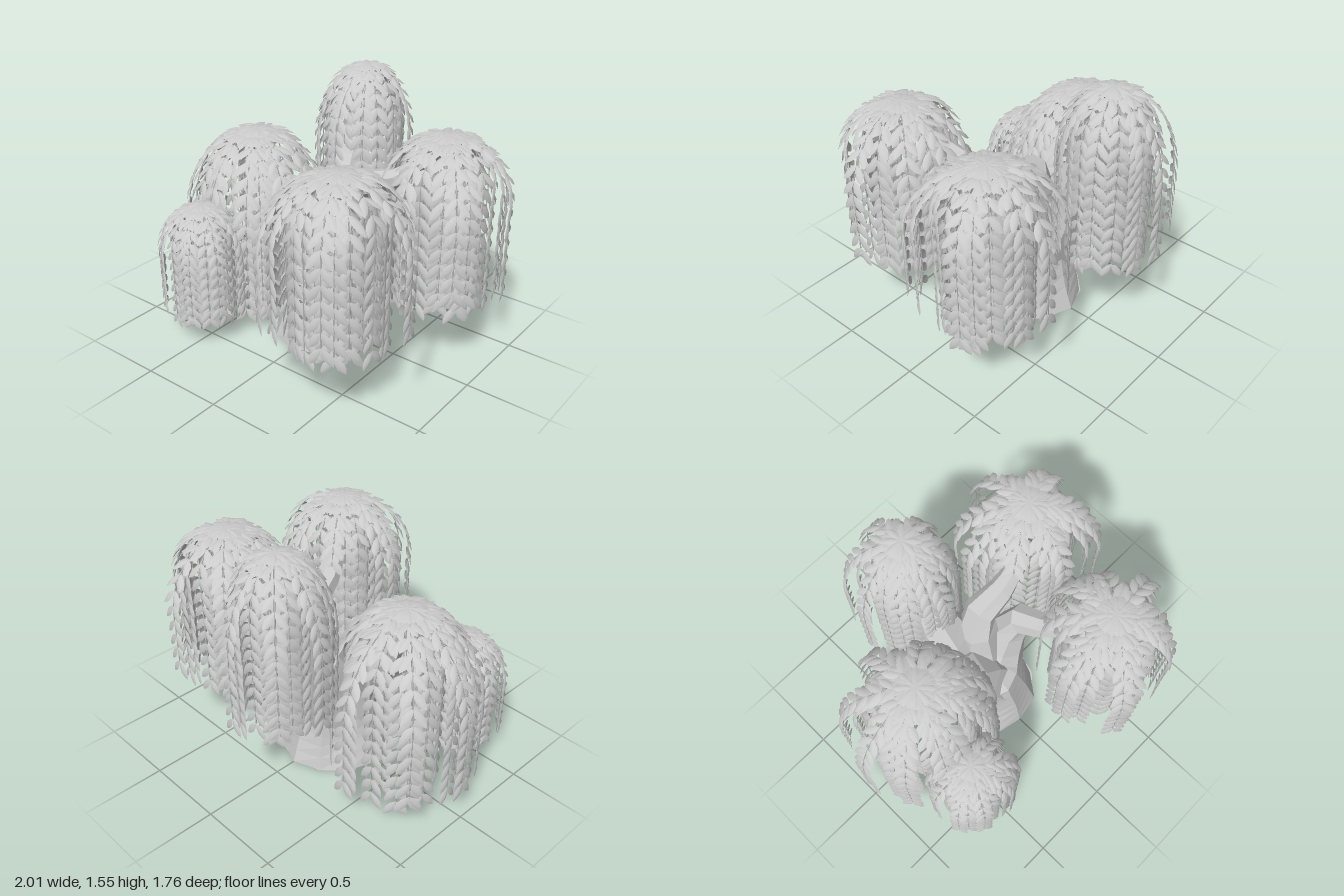
import * as THREE from 'three';
import { mergeGeometries } from 'three/addons/utils/BufferGeometryUtils.js';

const V = (x, y, z) => new THREE.Vector3(x, y, z);
const material = new THREE.MeshStandardMaterial({ color: 0xcccccc, side: THREE.DoubleSide });
const bark = new THREE.MeshStandardMaterial({ color: 0xcccccc, flatShading: true, side: THREE.DoubleSide });

// Small seeded generator
let seed = 7;
const rand = () => (seed = (seed * 16807) % 2147483647) / 2147483647;
const jitter = (a) => (rand() - 0.5) * 2 * a;

// Tapered limb: rings of the given radii swept along a curve
function limbGeometry(points, radii, sides, rough = 0) {
  const curve = new THREE.CatmullRomCurve3(points.map((p) => V(...p)));
  const steps = 8;
  const g = new THREE.TubeGeometry(curve, steps, 1, sides, false);
  const pos = g.attributes.position;
  const p = V(0, 0, 0);
  for (let i = 0; i <= steps; i++) {
    const t = i / steps;
    const c = curve.getPointAt(t);
    const f = t * (radii.length - 1);
    const k = Math.min(Math.floor(f), radii.length - 2);
    const r = THREE.MathUtils.lerp(radii[k], radii[k + 1], f - k);
    for (let j = 0; j <= sides; j++) {
      const n = i * (sides + 1) + j;
      const ridge = 1 + rough * Math.sin((j % sides) * 2.4 + i * 0.5);
      p.fromBufferAttribute(pos, n).sub(c).multiplyScalar(r * ridge).add(c);
      pos.setXYZ(n, p.x, p.y, p.z);
    }
  }
  g.computeVertexNormals();
  return g;
}

// Unit leaf along +y, pointed at both ends and domed towards +z
function makeLeaf() {
  const half = [[0, 0], [0.36, 0.25], [0.5, 0.55], [0.32, 0.82], [0, 1]];
  const outline = [...half, ...half.slice(1, -1).reverse().map(([x, y]) => [-x, y])];
  const pos = [0, 0.52, 0.22];
  outline.forEach(([x, y]) => pos.push(x, y, 0));
  const index = [];
  outline.forEach((_, i) => index.push(0, 1 + i, 1 + ((i + 1) % outline.length)));
  const g = new THREE.BufferGeometry();
  g.setAttribute('position', new THREE.Float32BufferAttribute(pos, 3));
  g.setIndex(index);
  g.computeVertexNormals();
  return g;
}
const leaf = makeLeaf();

// One hanging frond: arched stem with leaf pairs; wider fronds end higher
function addFrond(stems, leaves, c, angle, radius) {
  const out = V(Math.cos(angle), 0, Math.sin(angle));
  const side = V(-out.z, 0, out.x);
  const drop = radius * c.arch;
  const bottom = Math.max(0.01, c.hem + 1.1 * Math.max(0, radius - c.r) + jitter(0.03));
  const pts = [];
  for (let i = 0; i <= 6; i++) {
    const a = (i / 6) * Math.PI / 2;
    pts.push(V(c.x, c.top - drop * (1 - Math.cos(a)), c.z).addScaledVector(out, radius * Math.sin(a)));
  }
  const low = c.top - drop;
  for (let i = 1; i <= 3; i++) {
    pts.push(V(c.x, THREE.MathUtils.lerp(low, bottom + c.leaf * 0.8, i / 3), c.z).addScaledVector(out, radius));
  }
  const curve = new THREE.CatmullRomCurve3(pts);
  stems.push(new THREE.TubeGeometry(curve, 18, 0.004, 3, false));

  const count = Math.round(curve.getLength() / (c.leaf * 0.76));
  for (let i = 0; i <= count; i++) {
    const t = i / count;
    const base = curve.getPointAt(t);
    const tangent = curve.getTangentAt(t);
    const normal = V(0, 0, 0).crossVectors(side, tangent).normalize();
    if (normal.dot(out) + normal.y < 0) normal.negate();
    for (const s of [-1, 1]) {
      const dir = tangent.clone().multiplyScalar(0.83).addScaledVector(side, s * 0.55).normalize();
      // Each blade rolls a little about its own axis
      const face = normal.clone().addScaledVector(side, s * 0.25 + jitter(0.1));
      const across = V(0, 0, 0).crossVectors(dir, face).normalize();
      face.crossVectors(across, dir);
      const m = new THREE.Matrix4().makeBasis(
        across.multiplyScalar(c.leaf * 0.38),
        dir.multiplyScalar(c.leaf * (0.97 + jitter(0.06))),
        face.multiplyScalar(c.leaf * 0.4)
      ).setPosition(base);
      leaves.push(leaf.clone().applyMatrix4(m));
    }
  }
}

// Canopies: centre, top, hem height, inner radius, and long fronds as [degrees, radius]
const canopies = [
  { name: 'leftRearCanopy', x: 0.63, z: -0.28, top: 1.34, hem: 0.33, r: 0.27, arch: 0.95, leaf: 0.122,
    long: [[270, 0.41], [222, 0.42], [197, 0.4], [186, 0.36], [342, 0.36], [330, 0.33], [52, 0.43], [40, 0.38],
      [62, 0.37], [150, 0.36], [100, 0.36], [112, 0.33]] },
  { name: 'leftFrontCanopy', x: 0.47, z: 0.51, top: 1.34, hem: 0.35, r: 0.27, arch: 0.95, leaf: 0.122,
    long: [[353, 0.42], [308, 0.37], [272, 0.4], [284, 0.38], [235, 0.37], [173, 0.4], [185, 0.38], [160, 0.36],
      [128, 0.42], [118, 0.37], [66, 0.36], [56, 0.33]] },
  { name: 'rightCanopy', x: -0.53, z: 0, top: 1.2, hem: 0.06, r: 0.35, arch: 1.25, leaf: 0.125,
    long: [[180, 0.46], [270, 0.47], [222, 0.47], [145, 0.44], [155, 0.41], [112, 0.41], [95, 0.4], [58, 0.45],
      [47, 0.43], [25, 0.44], [12, 0.42], [318, 0.4], [345, 0.4]] },
  { name: 'smallFrontCanopy', x: -0.57, z: 0.45, top: 0.85, hem: 0.12, r: 0.2, arch: 1.1, leaf: 0.09,
    long: [[152, 0.27], [140, 0.25], [118, 0.26], [65, 0.26], [76, 0.24], [30, 0.28], [42, 0.26], [190, 0.26],
      [350, 0.27], [225, 0.26], [265, 0.23]] },
  { name: 'rearCanopy', x: -0.09, z: -0.52, top: 1.56, hem: 0.5, r: 0.24, arch: 1.5, leaf: 0.11,
    long: [[270, 0.335], [222, 0.36], [180, 0.34], [130, 0.31], [142, 0.29], [90, 0.32], [105, 0.3], [60, 0.29], [40, 0.27]] },
];

function buildCanopy(c) {
  const stems = [], leaves = [];
  // Rings of regular fronds, the innermost closing the crown
  const rings = [[7, 0.6], [13, 0.93], [6, 1.1]];
  rings.forEach(([n, scale], k) => {
    for (let i = 0; i < n; i++) {
      const a = ((i + k * 0.35) / n) * Math.PI * 2;
      addFrond(stems, leaves, c, a, c.r * scale * (1 + jitter(0.06)));
    }
  });
  // Longer fronds reaching out past the crown
  c.long.forEach(([deg, r]) => addFrond(stems, leaves, c, THREE.MathUtils.degToRad(deg), r));
  // Small drooping rosette on the very top
  for (let i = 0; i < 8; i++) {
    const m = new THREE.Matrix4().makeRotationY((i / 8) * Math.PI * 2)
      .multiply(new THREE.Matrix4().makeRotationX(-1.7))
      .scale(V(c.leaf * 0.38, c.leaf, c.leaf * 0.4)).setPosition(c.x, c.top + 0.005, c.z);
    leaves.push(leaf.clone().applyMatrix4(m));
  }
  const group = new THREE.Group();
  group.name = c.name;
  for (const [name, list] of [['stems', stems], ['leaves', leaves]]) {
    const mesh = new THREE.Mesh(mergeGeometries(list), material);
    mesh.name = name;
    group.add(mesh);
  }
  return group;
}

export function createModel() {
  seed = 7;
  const model = new THREE.Group();
  const addBark = (name, geometry) => {
    const mesh = new THREE.Mesh(geometry, bark);
    mesh.name = name;
    model.add(mesh);
    return mesh;
  };

  // Flared trunk with its flat underside
  addBark('trunk', limbGeometry(
    [[0, 0.02, -0.02], [0, 0.22, -0.02], [-0.02, 0.42, -0.02], [-0.03, 0.62, -0.03]],
    [0.335, 0.3, 0.275, 0.255, 0.235, 0.01], 12, 0.04));
  const base = addBark('trunkBase', new THREE.CircleGeometry(0.335, 12));
  base.rotation.x = Math.PI / 2;
  base.position.set(0, 0.021, -0.02);

  // Limbs from the trunk into each canopy
  const limbs = {
    leftRearLimb: [[[0.02, 0.35, -0.06], [0.05, 0.7, -0.1], [0.08, 0.95, -0.13], [0.35, 1.05, -0.13], [0.61, 1.26, -0.27]], [0.2, 0.14, 0.1, 0.06, 0.02]],
    leftFrontLimb: [[[0.06, 0.3, 0], [0.16, 0.6, 0], [0.24, 0.88, 0.04], [0.3, 1.0, 0.25], [0.46, 1.28, 0.49]], [0.2, 0.13, 0.09, 0.06, 0.02]],
    rightLimb: [[[-0.03, 0.32, 0], [-0.16, 0.6, 0], [-0.35, 0.8, 0], [-0.53, 1.13, 0]], [0.24, 0.18, 0.1, 0.02]],
    smallFrontLimb: [[[-0.18, 0.55, 0.05], [-0.33, 0.66, 0.18], [-0.45, 0.7, 0.32], [-0.56, 0.8, 0.44]], [0.1, 0.07, 0.05, 0.02]],
    rearLimb: [[[-0.04, 0.32, -0.06], [-0.09, 0.68, -0.2], [-0.1, 1.05, -0.38], [-0.09, 1.48, -0.51]], [0.23, 0.17, 0.1, 0.02]],
  };
  for (const [name, [points, radii]] of Object.entries(limbs)) {
    addBark(name, limbGeometry(points, radii, 7));
  }

  canopies.forEach((c) => model.add(buildCanopy(c)));
  return model;
}
